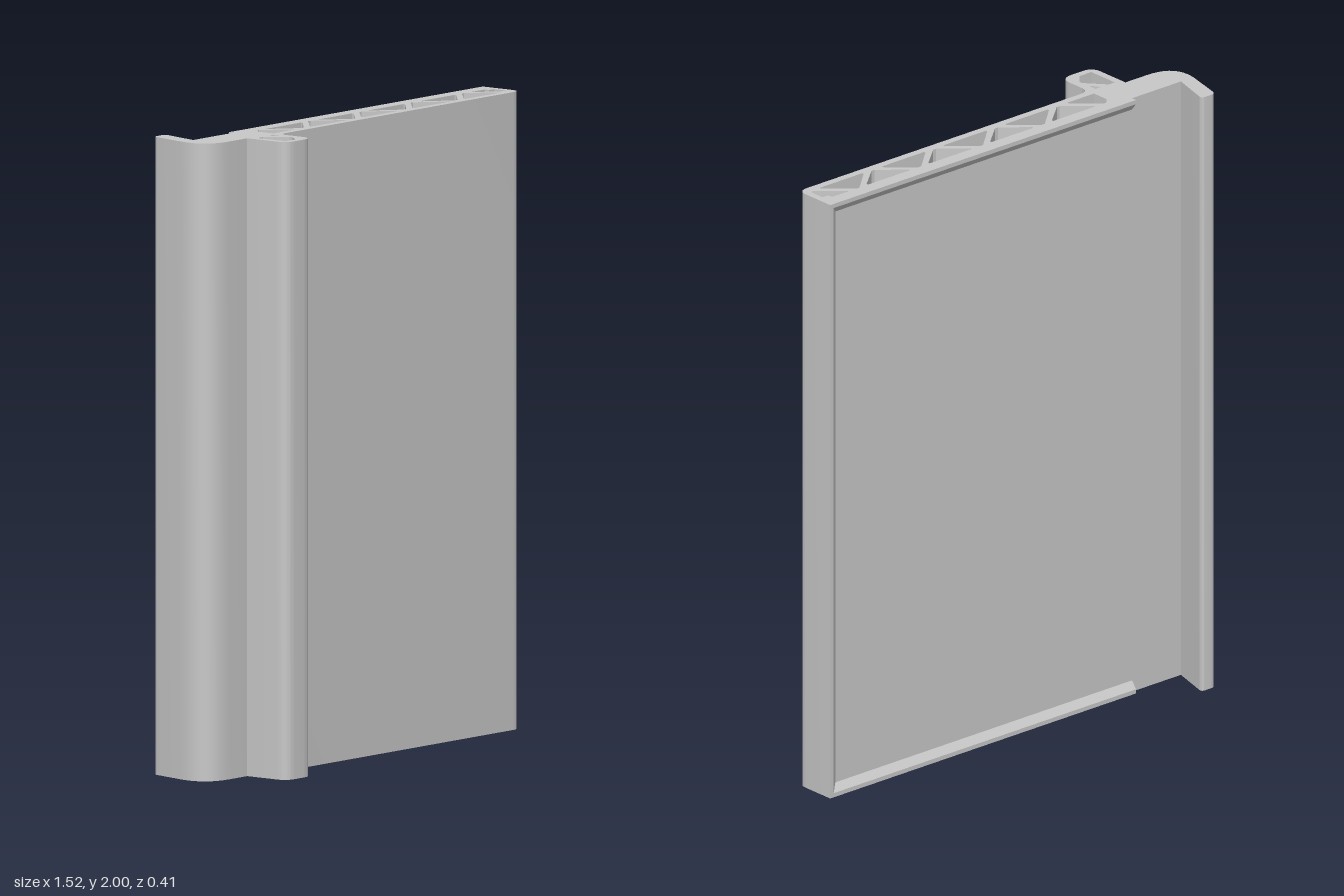
import * as THREE from 'three';
import { toCreasedNormals } from 'three/addons/utils/BufferGeometryUtils.js';

const HEIGHT = 2;
const BACK = -0.061; // z of the recessed back face

// Closed path from [x, z, cornerCut] points; shape y is -z
function trace(path, pts) {
  const v = pts.map(([x, z]) => new THREE.Vector2(x, -z));
  v.forEach((p, i) => {
    const cut = pts[i][2] || 0;
    const prev = v[(i + v.length - 1) % v.length];
    const next = v[(i + 1) % v.length];
    const a = p.clone().add(prev.clone().sub(p).setLength(cut));
    const b = p.clone().add(next.clone().sub(p).setLength(cut));
    if (i === 0) path.moveTo(a.x, a.y);
    else path.lineTo(a.x, a.y);
    if (cut) path.quadraticCurveTo(p.x, p.y, b.x, b.y);
  });
  path.closePath();
  return path;
}

export function createModel() {
  const group = new THREE.Group();
  const grey = new THREE.MeshStandardMaterial({ color: 0xc8c8c8 });
  grey.name = 'grey';

  // Panel section with hooked edge and hollow front bead
  const section = trace(new THREE.Shape(), [
    [-0.724, -0.203, 0.016], [-0.667, -0.203, 0.016], [-0.707, BACK], [0.76, BACK],
    [0.76, 0.07, 0.035], [-0.442, 0.07, 0.035], [-0.442, 0.203, 0.045],
    [-0.573, 0.203, 0.04], [-0.573, 0.047], [-0.785, 0.047, 0.125],
  ]);
  // Openings run opposite to the outline so their walls face inward
  const hole = (pts) => section.holes.push(trace(new THREE.Path(), pts.reverse()));

  // Truss openings: alternating upright and inverted triangles
  const top = -0.035, low = 0.045, step = 0.2555;
  hole([[-0.441, low], [-0.441, -0.014], [-0.421, top], [-0.411, top], [-0.331, 0.038], [-0.331, low]]);
  for (let i = 0; i < 4; i++) {
    const c = -0.161 + i * step;
    const d = c - step / 2;
    hole([[c - 0.088, low], [c - 0.088, 0.038], [c - 0.006, top], [c + 0.006, top], [c + 0.088, 0.038], [c + 0.088, low]]);
    hole([[d - 0.086, top], [d + 0.086, top], [d + 0.086, -0.028], [d + 0.006, low - 0.005], [d - 0.006, low - 0.005], [d - 0.086, -0.028]]);
  }
  hole([[0.646, top], [0.713, top], [0.713, -0.017], [0.737, -0.017], [0.737, 0.032], [0.729, 0.041], [0.646, -0.028]]);

  // Bead openings
  hole([[-0.548, 0.069], [-0.523, 0.069], [-0.469, 0.132], [-0.469, 0.144], [-0.499, 0.179], [-0.548, 0.179]]);
  hole([[-0.491, 0.069], [-0.469, 0.069], [-0.469, 0.096], [-0.477, 0.094]]);

  const body = new THREE.ExtrudeGeometry(section, { depth: HEIGHT, bevelEnabled: false, curveSegments: 10 });
  body.rotateX(-Math.PI / 2);
  const panel = new THREE.Mesh(toCreasedNormals(body, 0.5), grey);
  panel.name = 'hollowPanel';
  group.add(panel);

  // Chamfered rims around the recessed back
  const rim = new THREE.Shape([[0, 0], [0.038, 0], [0.014, 0.019], [0, 0.019]].map(([x, y]) => new THREE.Vector2(x, y)));
  const outward = new THREE.Vector3(0, 0, -1);
  const addRim = (name, origin, inward, length) => {
    const u = new THREE.Vector3(...inward);
    const along = u.clone().cross(outward);
    const g = new THREE.ExtrudeGeometry(rim, { depth: length, bevelEnabled: false });
    g.applyMatrix4(new THREE.Matrix4().makeBasis(u, outward, along));
    g.translate(...origin);
    const mesh = new THREE.Mesh(g, grey);
    mesh.name = name;
    group.add(mesh);
  };
  addRim('topRim', [-0.505, HEIGHT, BACK], [0, -1, 0], 1.265);
  addRim('bottomRim', [0.76, 0, BACK], [0, 1, 0], 1.265);
  addRim('sideRim', [0.76, HEIGHT, BACK], [-1, 0, 0], HEIGHT);

  return group;
}
